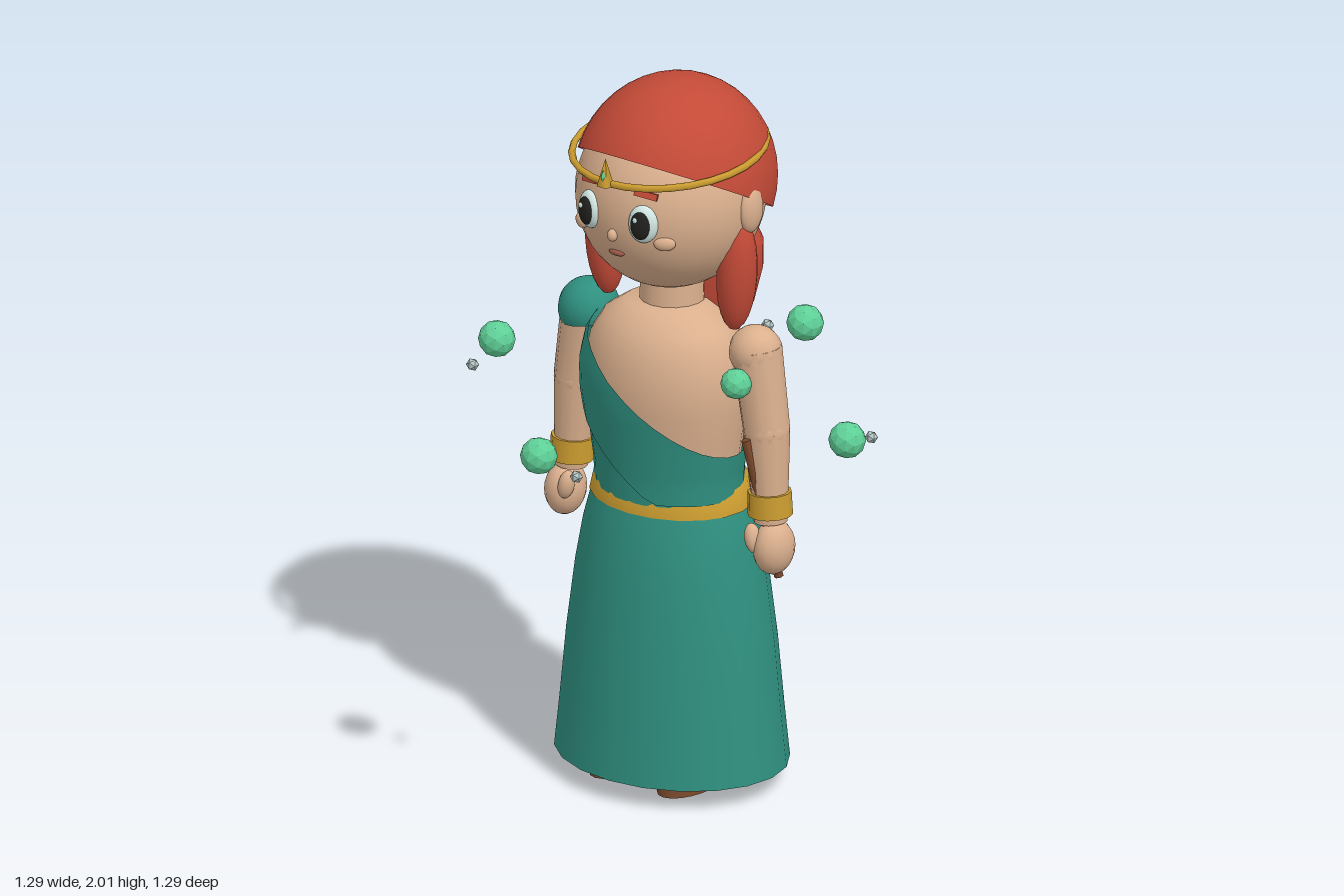
import * as THREE from 'three';

const mat = (name, color, side = THREE.FrontSide, flatShading = false) => {
  const m = new THREE.MeshStandardMaterial({ color, side, flatShading });
  m.name = name;
  return m;
};

export function createModel() {
  const model = new THREE.Group();
  model.name = 'figure';
  const skin = mat('skin', 0xdbb08e);
  const hair = mat('red hair', 0xc34a37, THREE.DoubleSide);
  const teal = mat('teal cloth', 0x2f9080, THREE.DoubleSide);
  const gold = mat('gold', 0xcb9c30, THREE.DoubleSide);
  const green = mat('green orb', 0x5fd097, THREE.FrontSide, true);
  const grey = mat('pale grey', 0xb4c6c4, THREE.FrontSide, true);
  const white = mat('eye white', 0xd6ece8);
  const black = mat('pupil', 0x20201e);
  const brown = mat('leather', 0x7c4a2c);
  const lip = mat('lip', 0x9a5a48);

  const add = (name, geo, material, pos = [0, 0, 0], rot = [0, 0, 0], scale = [1, 1, 1]) => {
    const m = new THREE.Mesh(geo, material);
    m.name = name;
    m.position.set(...pos);
    m.rotation.set(...rot);
    m.scale.set(...scale);
    model.add(m);
    return m;
  };
  const ball = (name, material, pos, radii, rot, seg = 16) =>
    add(name, new THREE.SphereGeometry(1, seg, Math.max(8, seg * 0.75)), material, pos, rot, radii);
  const lathe = (pts, seg = 24) =>
    new THREE.LatheGeometry(pts.map(p => new THREE.Vector2(...p)), seg, Math.PI);
  // Tapered limb between two points
  const limb = (name, material, a, b, ra, rb, seg = 12) => {
    const A = new THREE.Vector3(...a), B = new THREE.Vector3(...b);
    const d = B.clone().sub(A);
    const m = add(name, new THREE.CylinderGeometry(rb, ra, d.length(), seg), material,
      A.clone().add(B).multiplyScalar(0.5).toArray());
    m.quaternion.setFromUnitVectors(new THREE.Vector3(0, 1, 0), d.normalize());
    return m;
  };

  // Torso
  const torso = [[0.205, 0.82], [0.208, 0.9], [0.222, 1.0], [0.238, 1.1], [0.24, 1.18],
    [0.222, 1.26], [0.185, 1.32], [0.12, 1.365], [0.001, 1.38]];
  const depth = 0.8, torsoZ = 0.02;
  const radiusAt = y => {
    for (let i = 1; i < torso.length; i++) {
      const [r0, y0] = torso[i - 1], [r1, y1] = torso[i];
      if (y <= y1) return r0 + (r1 - r0) * Math.max(0, (y - y0) / (y1 - y0));
    }
    return 0;
  };
  add('torso', lathe(torso), skin, [0, 0, torsoZ], [0, 0, 0], [1, 1, depth]);
  limb('neck', skin, [0, 1.34, 0], [0, 1.46, 0], 0.09, 0.085, 16);

  // Cloth wrapped round the torso between two slanted edges
  const wrap = (name, material, low, high, offset) => {
    const geo = new THREE.CylinderGeometry(1, 1, 1, 32, 8, true, Math.PI);
    const p = geo.attributes.position;
    const solve = (edge, sx) => {
      let y = 1.1;
      for (let k = 0; k < 30; k++) y = 0.5 * y + 0.5 * edge(sx * radiusAt(y));
      return y;
    };
    for (let i = 0; i < p.count; i++) {
      const sx = p.getX(i), sz = p.getZ(i), t = p.getY(i) + 0.5;
      const lo = solve(low, sx), hi = Math.max(lo, solve(high, sx));
      const y = lo + (hi - lo) * t, r = radiusAt(y) + offset;
      p.setXYZ(i, sx * r, y, sz * r * depth + torsoZ);
    }
    geo.computeVertexNormals();
    add(name, geo, material);
  };
  wrap('bodice', teal, () => 0.83, x => 0.95 - 0.77 * x, 0.006);
  wrap('sash', teal, x => Math.max(0.84, 0.89 - 0.77 * x), x => 1.14 - 0.78 * x, 0.016);

  // Skirt and belt
  add('skirt', lathe([[0.338, 0.05], [0.322, 0.2], [0.303, 0.4], [0.277, 0.6],
    [0.255, 0.72], [0.228, 0.82], [0.21, 0.865]], 20), teal, [0, 0, 0], [0, 0, 0], [1, 1, 0.83]);
  add('belt', lathe([[0.238, 0.8], [0.236, 0.81], [0.224, 0.863], [0.205, 0.866]], 20),
    gold, [0, 0, 0], [0, 0, 0], [1, 1, 0.82]);

  // Head and face
  ball('head', skin, [0, 1.68, 0.005], [0.257, 0.265, 0.262], [0, 0, 0], 32);
  ball('nose', skin, [0, 1.632, 0.265], [0.014, 0.018, 0.015]);
  ball('mouth', lip, [0, 1.575, 0.246], [0.026, 0.009, 0.009]);
  for (const s of [-1, 1]) {
    ball('eye', white, [s * 0.09, 1.68, 0.246], [0.042, 0.054, 0.024], [0, s * 0.35, 0]);
    ball('pupil', black, [s * 0.092, 1.68, 0.263], [0.028, 0.04, 0.014], [0, s * 0.3, 0]);
    ball('glint', white, [s * 0.092 - 0.008, 1.698, 0.276], [0.007, 0.008, 0.004], [0, 0, 0], 8);
    ball('cheek', skin, [s * 0.14, 1.625, 0.217], [0.03, 0.02, 0.014], [0, s * 0.55, 0]);
    add('eyebrow', new THREE.BoxGeometry(0.065, 0.018, 0.02), hair,
      [s * 0.092, 1.762, 0.235], [-0.3, s * 0.38, -s * 0.06]);
    ball('ear', skin, [s * 0.255, 1.68, -0.015], [0.026, 0.068, 0.044]);
    ball('sideLock', hair, [s * 0.222, 1.49, 0.003], [0.055, 0.165, 0.057], [0, 0, -s * 0.06]);
  }

  // Hair
  add('hairCap', new THREE.SphereGeometry(1, 24, 10, Math.PI, Math.PI * 2, 0, Math.PI / 2), hair,
    [0, 1.71, -0.015], [-0.5, 0, 0], [0.272, 0.29, 0.285]);
  add('backHair', lathe([[0.001, -0.22], [0.07, -0.205], [0.125, -0.15], [0.17, -0.05], [0.19, 0.05],
    [0.185, 0.12], [0.155, 0.165], [0.001, 0.185]], 18), hair,
    [0, 1.4, -0.135], [-0.12, 0, 0], [1, 1, 0.52]);

  // Circlet with a pointed gem
  add('circlet', new THREE.TorusGeometry(0.265, 0.01, 6, 28), gold,
    [0, 1.812, 0.012], [Math.PI / 2 + 0.08, 0, 0], [0.965, 1.04, 1]);
  add('circletPoint', new THREE.ConeGeometry(0.024, 0.08, 4, 1, false, Math.PI / 4), gold, [0, 1.825, 0.296]);
  add('circletGem', new THREE.OctahedronGeometry(0.012), green, [0, 1.815, 0.306], [0, 0, 0], [0.6, 1.7, 0.8]);

  // Arms and hands
  for (const s of [-1, 1]) {
    ball('shoulder', skin, [s * 0.283, 1.278, 0], [0.074, 0.074, 0.072]);
    limb('upperArm', skin, [s * 0.32, 1.06, 0], [s * 0.286, 1.29, 0], 0.064, 0.07);
    ball('elbow', skin, [s * 0.32, 1.06, 0], [0.064, 0.064, 0.064]);
    limb('forearm', skin, [s * 0.337, 0.8, 0.005], [s * 0.32, 1.06, 0], 0.046, 0.064);
    limb('bracelet', gold, [s * 0.335, 0.82, 0.004], [s * 0.332, 0.886, 0.003], 0.062, 0.06);
    ball('hand', skin, [s * 0.352, 0.73, 0.01], [0.053, 0.077, 0.066]);
    ball('thumb', skin, [s * 0.315, 0.76, 0.055], [0.022, 0.042, 0.025], [0, 0, s * 0.2]);
  }
  add('sleeve', new THREE.SphereGeometry(0.085, 16, 10, 0, Math.PI * 2, 0, 1.95), teal,
    [-0.28, 1.268, 0], [0, 0, 0.15]);
  limb('wand', brown, [0.365, 0.645, 0.005], [0.3, 1.045, 0.066], 0.013, 0.013, 6);

  // Legs and sandals
  for (const s of [-1, 1]) {
    limb('leg', skin, [s * 0.115, 0.04, 0], [s * 0.115, 0.6, 0], 0.046, 0.075);
    ball('foot', skin, [s * 0.115, 0.045, 0.06], [0.053, 0.035, 0.113]);
    add('sole', new THREE.CylinderGeometry(1, 1, 0.024, 20), brown,
      [s * 0.115, 0.012, 0.063], [0, 0, 0], [0.068, 1, 0.127]);
    add('toeStrap', new THREE.TorusGeometry(0.052, 0.009, 6, 16), brown,
      [s * 0.115, 0.032, 0.1], [0, 0, 0], [1, 0.7, 1.6]);
    add('ankleStrap', new THREE.TorusGeometry(0.05, 0.01, 6, 16), brown,
      [s * 0.115, 0.12, 0], [Math.PI / 2, 0, 0]);
  }

  // Ring of floating orbs and pebbles
  for (let i = 0; i < 4; i++) {
    const a = i * Math.PI / 2, b = a + 0.203;
    add('orb', new THREE.IcosahedronGeometry(0.051, 1), green, [Math.sin(a) * 0.592, 1.097, Math.cos(a) * 0.592]);
    add('pebble', new THREE.IcosahedronGeometry(0.018, 0), grey, [Math.sin(b) * 0.595, 1.063, Math.cos(b) * 0.595]);
  }
  add('nearOrb', new THREE.IcosahedronGeometry(0.043, 1), green, [0.28, 1.21, 0.083]);

  return model;
}
